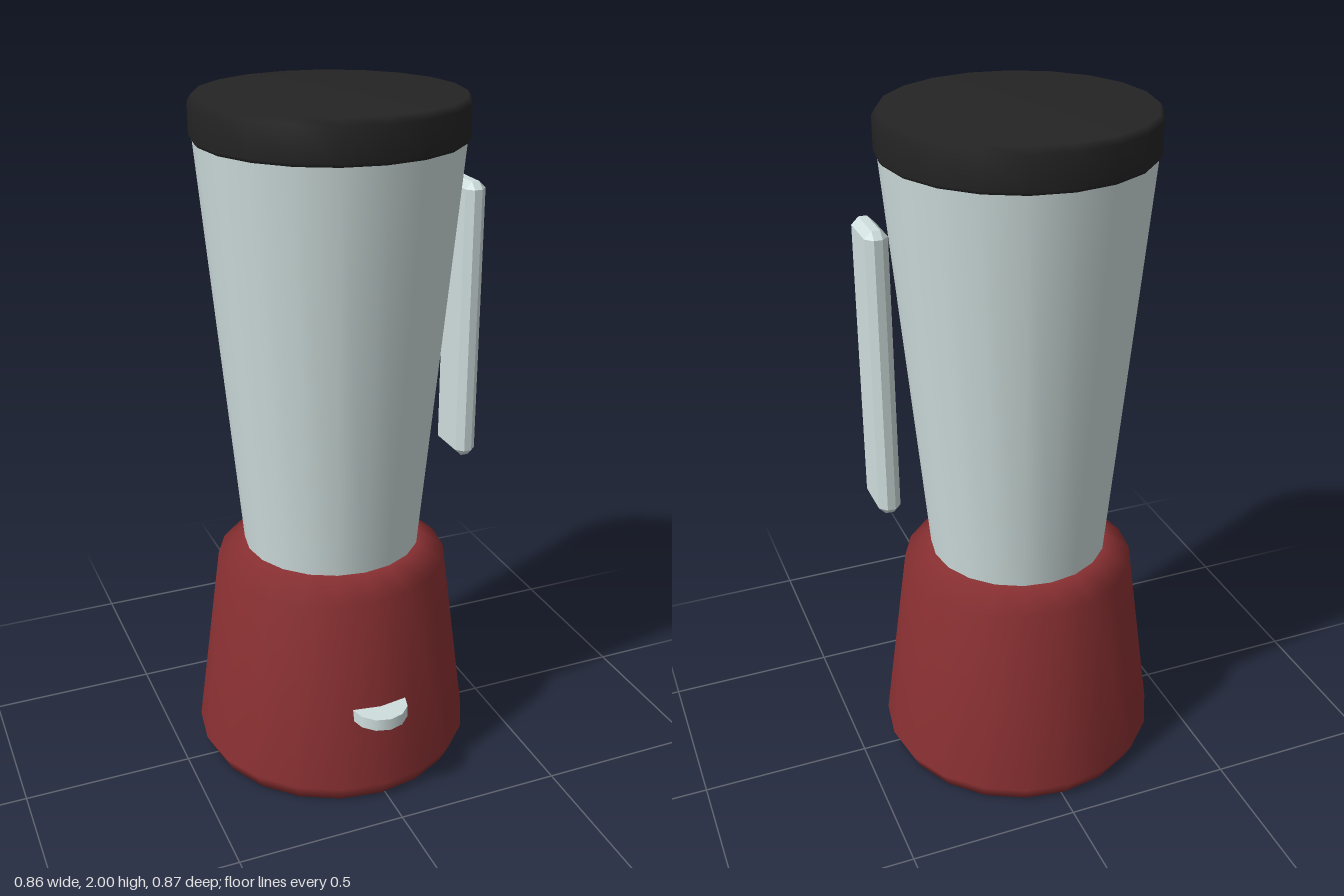
import * as THREE from 'three';
import { ConvexGeometry } from 'three/addons/geometries/ConvexGeometry.js';

const SIDES = 20;
const AXIS_X = -0.013, AXIS_Z = -0.018;

function material(name, color) {
  const m = new THREE.MeshStandardMaterial({ color });
  m.name = name;
  return m;
}

// Turned part from [radius, height] pairs, listed bottom to top
function turned(name, profile, mat) {
  const points = profile.map(([r, y]) => new THREE.Vector2(r, y));
  const mesh = new THREE.Mesh(new THREE.LatheGeometry(points, SIDES), mat);
  mesh.name = name;
  mesh.position.set(AXIS_X, 0, AXIS_Z);
  return mesh;
}

// Box with every edge and corner cut by the same chamfer
function chamferedBox(w, h, d, c) {
  const points = [];
  for (const sx of [-1, 1]) for (const sy of [-1, 1]) for (const sz of [-1, 1]) {
    for (let axis = 0; axis < 3; axis++) {
      const p = [w / 2, h / 2, d / 2].map((s, i) => (i === axis ? s : s - c));
      points.push(new THREE.Vector3(sx * p[0], sy * p[1], sz * p[2]));
    }
  }
  return new ConvexGeometry(points);
}

export function createModel() {
  const model = new THREE.Group();
  model.name = 'blender';
  const red = material('red housing', 0x8a3032);
  const pale = material('pale glass', 0xcfdedd);
  const black = material('black lid', 0x242424);

  // Motor base with a bevelled foot and shoulder
  model.add(turned('motorBase', [
    [0, 0], [0.392, 0], [0.418, 0.052], [0.342, 0.632], [0.262, 0.686], [0, 0.686],
  ], red));

  // Tapered jar
  model.add(turned('jar', [[0.261, 0.68], [0.37, 1.89]], pale));

  // Lid with small bevels
  model.add(turned('lid', [
    [0, 1.88], [0.368, 1.88], [0.378, 1.892], [0.378, 1.982], [0.366, 2], [0, 2],
  ], black));

  // Upright grip beside the jar
  const handle = new THREE.Mesh(chamferedBox(0.063, 0.836, 0.159, 0.02), pale);
  handle.name = 'handle';
  handle.position.set(0.399, 1.319, -0.018);
  model.add(handle);

  // Round switch half sunk into the base
  const button = new THREE.Mesh(new THREE.CylinderGeometry(0.083, 0.083, 0.036, 12), pale);
  button.name = 'switchButton';
  button.position.set(AXIS_X, 0.288, 0.353);
  model.add(button);

  return model;
}
